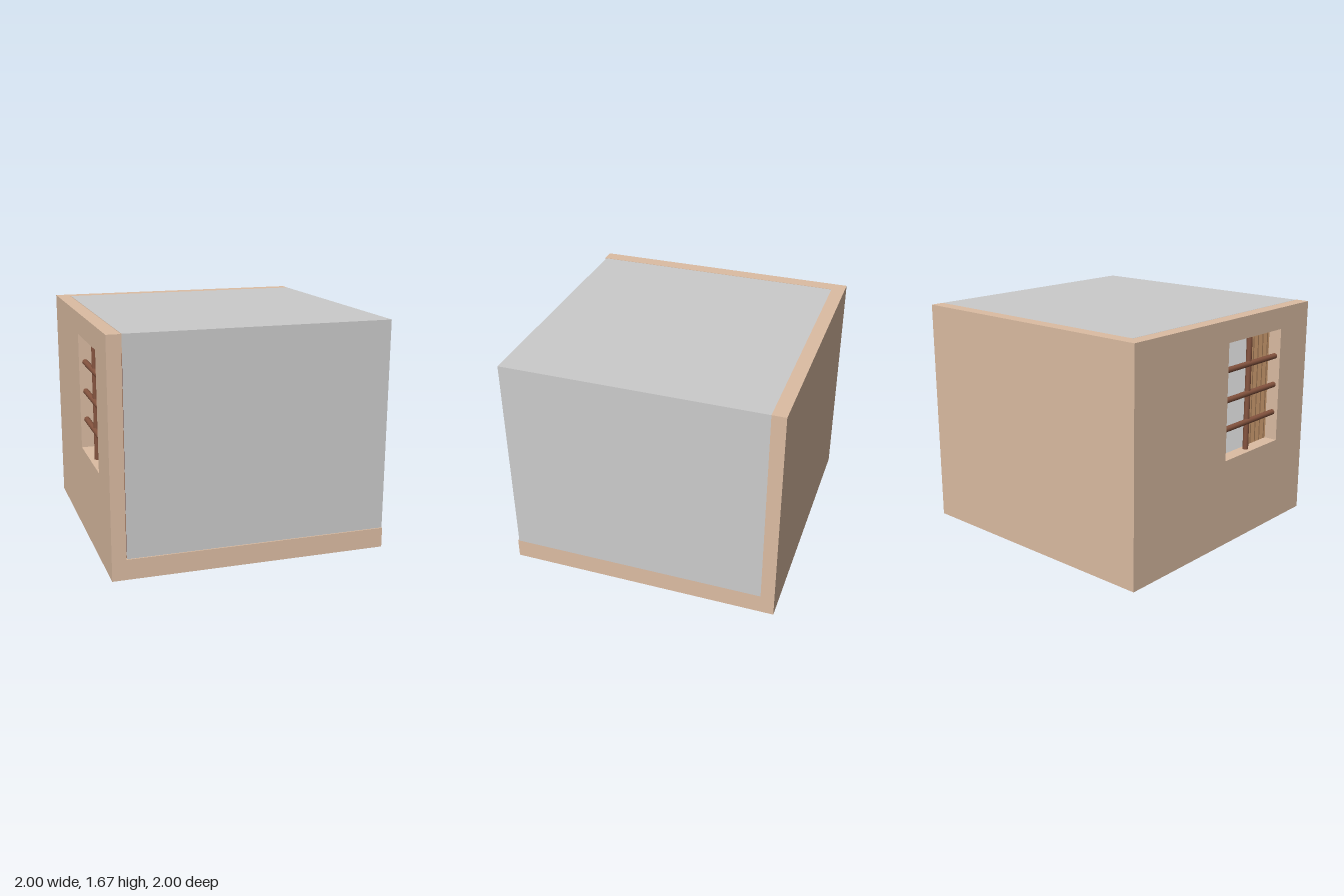
import * as THREE from 'three';

const plaster = new THREE.MeshStandardMaterial({ color: 0xdcbda3 });
const grey = new THREE.MeshStandardMaterial({ color: 0xcccccc, side: THREE.DoubleSide });
const darkWood = new THREE.MeshStandardMaterial({ color: 0x85543f });
const wood = new THREE.MeshStandardMaterial({ color: 0xb0855f });

const H = 1.67, FLOOR = 0.145, WALL = 0.1;
const WIN = { z0: -0.01, z1: 0.64, y0: 0.65, y1: 1.51 };

function add(group, name, geometry, material, x = 0, y = 0, z = 0) {
  const mesh = new THREE.Mesh(geometry, material);
  mesh.name = name;
  mesh.position.set(x, y, z);
  group.add(mesh);
  return mesh;
}

// Box given by its lower and upper corners
function block(group, name, material, [x0, y0, z0], [x1, y1, z1]) {
  return add(group, name, new THREE.BoxGeometry(x1 - x0, y1 - y0, z1 - z0), material,
    (x0 + x1) / 2, (y0 + y1) / 2, (z0 + z1) / 2);
}

// Side wall with a window opening, drawn in (-z, y) and extruded along x
function sideWall() {
  const rect = (Type, a, b, c, d) => new Type([[a, b], [c, b], [c, d], [a, d]]
    .map(([u, v]) => new THREE.Vector2(u, v)));
  const shape = rect(THREE.Shape, -1, FLOOR, 1 - WALL, H);
  shape.holes.push(rect(THREE.Path, -WIN.z1, WIN.y0, -WIN.z0, WIN.y1));
  const geometry = new THREE.ExtrudeGeometry(shape, { depth: WALL, bevelEnabled: false });
  geometry.rotateY(Math.PI / 2);
  return geometry;
}

// Round bars set in the thickness of the wall
function windowBars() {
  const bars = new THREE.Group();
  bars.name = 'windowBars';
  const x = -0.955, r = 0.021;
  const width = WIN.z1 - WIN.z0, height = WIN.y1 - WIN.y0;
  const zMid = (WIN.z0 + WIN.z1) / 2, yMid = (WIN.y0 + WIN.y1) / 2;
  for (const y of [0.865, 1.08, 1.3]) {
    add(bars, 'crossBar', new THREE.CylinderGeometry(r, r, width, 12), darkWood, x, y, zMid)
      .rotation.x = Math.PI / 2;
  }
  add(bars, 'uprightBar', new THREE.CylinderGeometry(r, r, height, 12), darkWood, x + 0.01, yMid, zMid);
  return bars;
}

// Boarded cupboard and low chest in the corner behind the window
function furniture() {
  const group = new THREE.Group();
  group.name = 'furniture';
  const z = 0.76, boards = 6, w = 0.24 / boards;
  block(group, 'cupboardBody', darkWood, [-0.895, FLOOR, z], [-0.655, 1.5, 0.97]);
  for (let i = 0; i < boards; i++) {
    const x = -0.895 + i * w;
    block(group, 'cupboardBoard', wood, [x + 0.004, FLOOR, z - 0.012], [x + w - 0.004, 1.5, z]);
  }
  block(group, 'lowChest', darkWood, [-0.65, FLOOR, 0.82], [-0.25, 0.28, 0.97]);
  return group;
}

export function createModel() {
  const model = new THREE.Group();
  model.name = 'room';

  // Floor and the two plastered walls
  block(model, 'floor', plaster, [-1, 0, -1], [1, FLOOR, 1]);
  block(model, 'backWall', plaster, [-1, FLOOR, -1], [1, H, -1 + WALL]);
  add(model, 'windowWall', sideWall(), plaster, -1, 0, 0);

  model.add(windowBars(), furniture());

  // Plain panels closing the front, the side and the top
  const x0 = -0.895, front = 0.99, back = -1 + WALL;
  const panelW = 1 - x0, panelH = H - FLOOR, panelD = front - back;
  const xMid = (1 + x0) / 2, yMid = (H + FLOOR) / 2, zMid = (front + back) / 2;
  add(model, 'frontPanel', new THREE.PlaneGeometry(panelW, panelH), grey, xMid, yMid, front);
  add(model, 'sidePanel', new THREE.PlaneGeometry(panelD, panelH), grey, 1, yMid, zMid)
    .rotation.y = Math.PI / 2;
  add(model, 'topPanel', new THREE.PlaneGeometry(panelW, panelD), grey, xMid, H, zMid)
    .rotation.x = -Math.PI / 2;

  return model;
}
